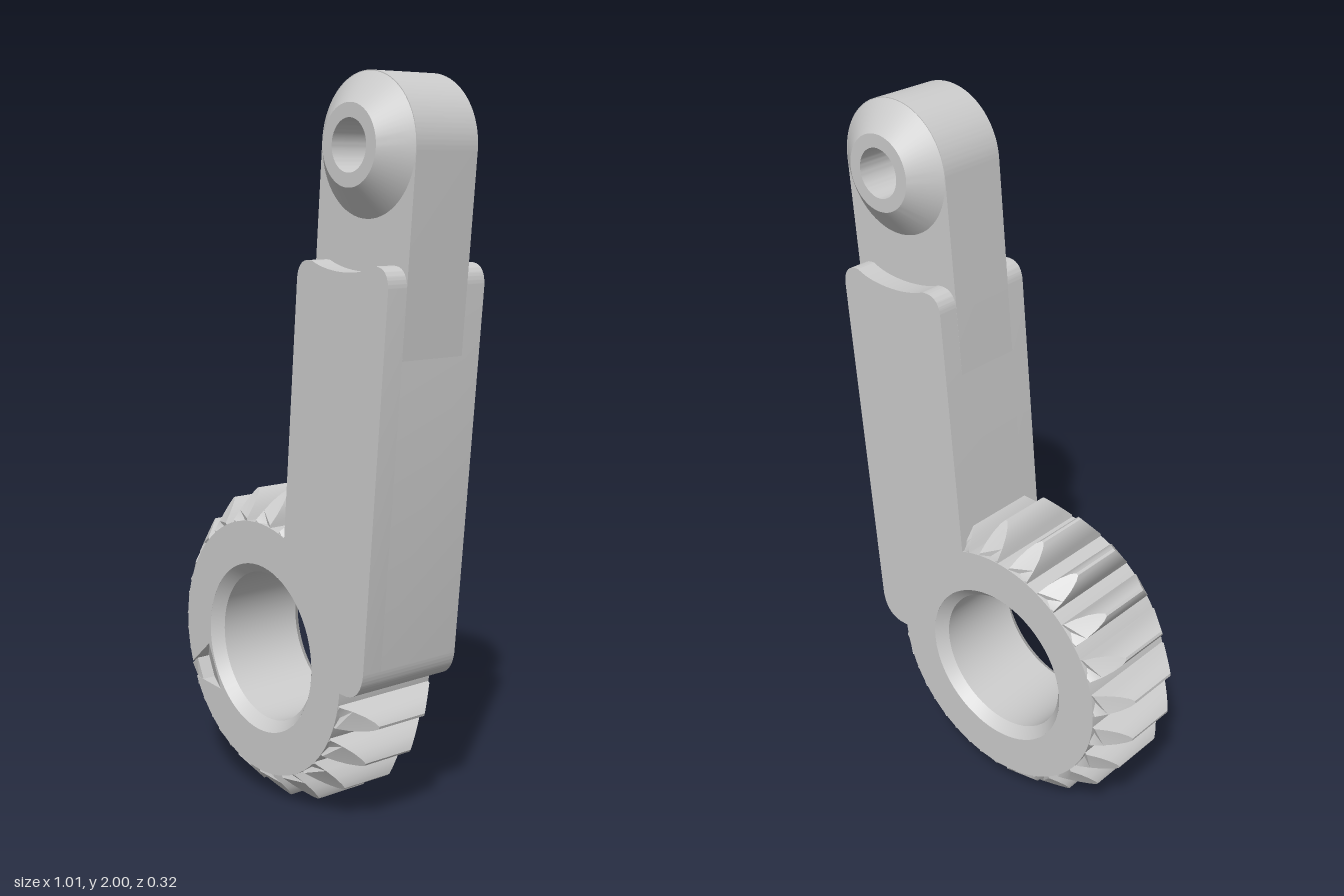
import * as THREE from 'three';
import { toCreasedNormals } from 'three/addons/utils/BufferGeometryUtils.js';

const HALF = 0.16;                                // half thickness of the whole lever
const GEAR = { x: -0.065, y: 0.447, root: 0.36, tip: 0.445 };
const EYE = { x: 0.324, y: 1.82, r: 0.18 };
const TEETH = 21;
const rad = THREE.MathUtils.degToRad;

const material = new THREE.MeshStandardMaterial({ color: 0xcccccc, side: THREE.DoubleSide });

function part(name, geometry) {
  const mesh = new THREE.Mesh(toCreasedNormals(geometry, 0.5), material);
  mesh.name = name;
  return mesh;
}

function slab(shape, z0, z1) {
  const g = new THREE.ExtrudeGeometry(shape, { depth: z1 - z0, bevelEnabled: false, curveSegments: 48 });
  return g.translate(0, 0, z0);
}

function addHole(shape, x, y, r) {
  shape.holes.push(new THREE.Path().absarc(x, y, r, 0, Math.PI * 2, true));
}

// Turned part whose axis runs along z; profile is [radius, z]
function turned(profile, x, y) {
  const pts = profile.map(([r, z]) => new THREE.Vector2(r, z));
  return new THREE.LatheGeometry(pts, 64).rotateX(Math.PI / 2).translate(x, y, 0);
}

// Corners of the triangular timing mark, pointing out to the gear rim
const MARK = [[-0.25, -0.05], [-0.337, -0.126], [-0.318, -0.168], [-0.192, -0.174]]
  .map(([x, y]) => [GEAR.x + x, GEAR.y + y]);

// Gear ring and wide arm share one outline
function bodyShape(marked) {
  const { x, y, root } = GEAR;
  const s = new THREE.Shape();
  s.moveTo(0.116, 1.485);
  s.lineTo(0.056, 0.786);
  if (marked) {
    s.absarc(x, y, root, rad(70.3), rad(200.5), false);
    for (const i of [1, 0, 3, 2]) s.lineTo(...MARK[i]);
    s.absarc(x, y, root, rad(207.9), rad(355), false);
  } else {
    s.absarc(x, y, root, rad(70.3), rad(355), false);
  }
  s.lineTo(0.32, 0.415);
  s.quadraticCurveTo(0.38, 0.42, 0.39, 0.49);
  s.lineTo(0.475, 1.475);
  s.quadraticCurveTo(0.476, 1.535, 0.42, 1.532);
  s.bezierCurveTo(0.37, 1.505, 0.25, 1.505, 0.18, 1.535);
  s.quadraticCurveTo(0.122, 1.545, 0.116, 1.485);
  addHole(s, x, y, 0.24);
  return s;
}

// One tooth pointing along +x, its ends sloped back on a 45 degree cone
function toothGeometry() {
  const side = [[0.33, 0.04], [0.365, 0.033], [0.39, 0.03], [0.415, 0.023], [0.435, 0.013], [GEAR.tip, 0.004]];
  const outline = [...side.map(([r, w]) => [r, -w]), ...side.slice().reverse()];
  const shape = new THREE.Shape(outline.map(([r, w]) => new THREE.Vector2(r, w)));
  const g = slab(shape, -1, 1);
  const p = g.attributes.position;
  for (let i = 0; i < p.count; i++) {
    const r = Math.hypot(p.getX(i), p.getY(i));
    const reach = Math.min(HALF - 0.001, HALF - (r - 0.365));
    p.setZ(i, Math.sign(p.getZ(i)) * reach);
  }
  g.computeVertexNormals();
  return g;
}

export function createModel() {
  const model = new THREE.Group();
  model.name = 'gearLever';

  // Body in two layers, the front one cut by the timing mark
  const markDepth = 0.06;
  model.add(part('body', slab(bodyShape(false), -HALF, HALF - markDepth)));
  model.add(part('bodyFront', slab(bodyShape(true), HALF - markDepth, HALF)));

  // Sloping floor of the timing mark
  const floor = new THREE.BufferGeometry();
  const corners = [0, 1, 2, 0, 2, 3].flatMap((i) => [...MARK[i], i === 0 || i === 3 ? HALF : HALF - 0.055]);
  floor.setAttribute('position', new THREE.Float32BufferAttribute(corners, 3));
  floor.computeVertexNormals();
  model.add(part('timingMarkFloor', floor));

  // Chamfered bore liner
  model.add(part('bore', turned(
    [[0.24, HALF], [0.212, 0.13], [0.212, -0.13], [0.24, -HALF]], GEAR.x, GEAR.y)));

  // Teeth around the ring, left out where the arm covers them
  const teeth = new THREE.Group();
  teeth.name = 'teeth';
  teeth.position.set(GEAR.x, GEAR.y, 0);
  const tooth = toothGeometry();
  for (let i = 0; i < 17; i++) {
    const mesh = part('tooth', tooth);
    mesh.rotation.z = rad(69.4 + (i * 360) / TEETH);
    teeth.add(mesh);
  }
  model.add(teeth);

  // Thinner link with a rounded end
  const link = new THREE.Shape();
  link.moveTo(0.1, 1.3);
  link.lineTo(0.46, 1.3);
  link.absarc(EYE.x, EYE.y, EYE.r, rad(-5), rad(175), false);
  link.closePath();
  addHole(link, EYE.x, EYE.y, 0.12);
  model.add(part('link', slab(link, -0.1, 0.1)));

  // Conical boss with a pin hole
  model.add(part('eyeBoss', turned([
    [0.066, -HALF], [0.102, -HALF], [0.178, -0.1], [0.178, 0.1],
    [0.102, HALF], [0.066, HALF], [0.066, -HALF],
  ], EYE.x, EYE.y)));

  return model;
}
